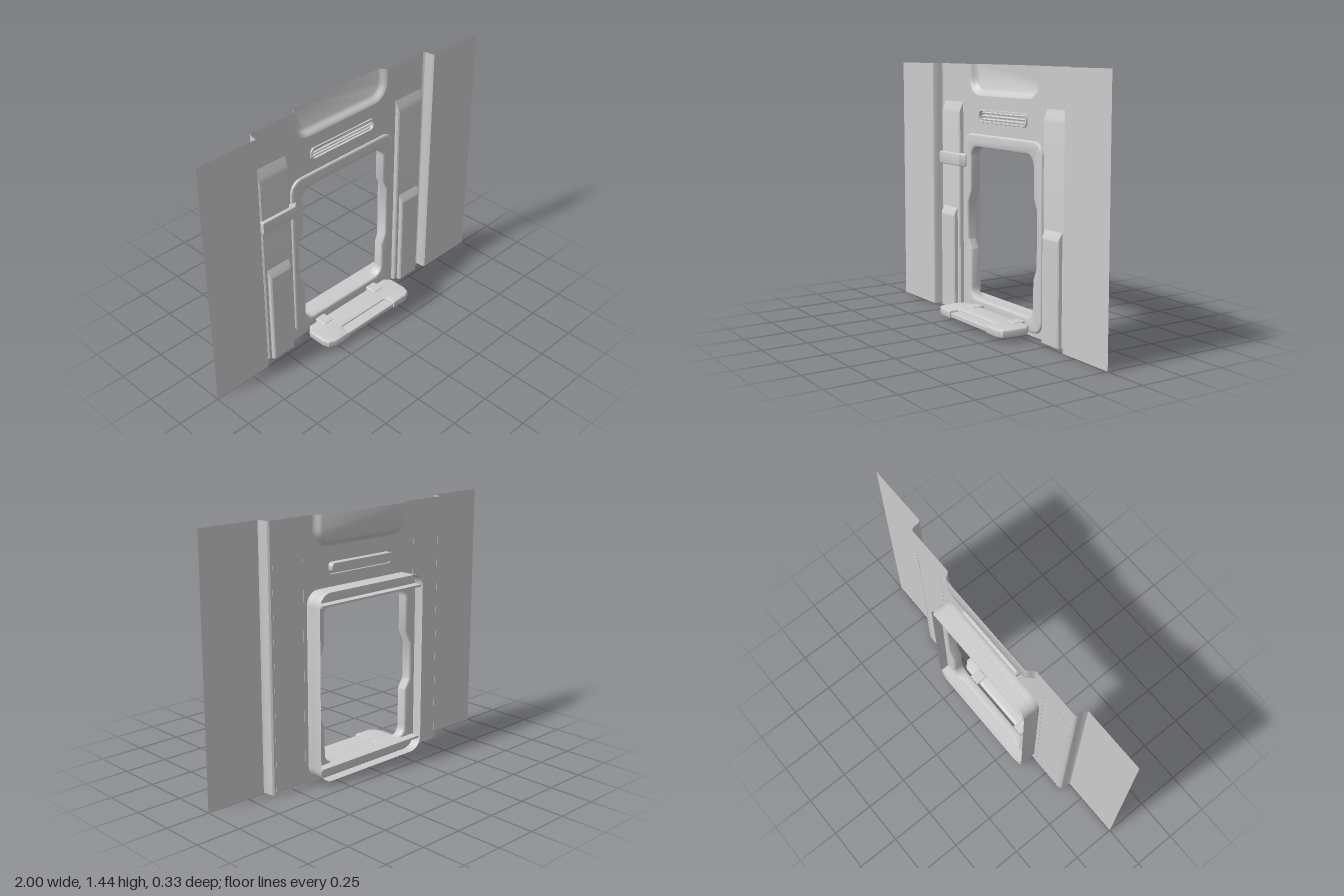
import * as THREE from 'three';
import { toCreasedNormals } from 'three/addons/utils/BufferGeometryUtils.js';
import { RoundedBoxGeometry } from 'three/addons/geometries/RoundedBoxGeometry.js';

const H = 1.44, WALL = -0.063, BACK = -0.163;
const mat = new THREE.MeshStandardMaterial({ color: 0xcccccc, side: THREE.DoubleSide });

// Rounded rectangle, anticlockwise from the top left; rt and rb are top and bottom radii
function ring(x0, x1, y0, y1, rt, rb, z, n = 6) {
  const pts = [];
  const corner = (cx, cy, r, a0) => {
    if (r === 0) return pts.push([cx, cy, z]);
    for (let i = 0; i <= n; i++) {
      const a = a0 + (i / n) * Math.PI / 2;
      pts.push([cx + r * Math.cos(a), cy + r * Math.sin(a), z]);
    }
  };
  corner(x0 + rt, y1 - rt, rt, Math.PI / 2);
  corner(x0 + rb, y0 + rb, rb, Math.PI);
  corner(x1 - rb, y0 + rb, rb, Math.PI * 1.5);
  corner(x1 - rt, y1 - rt, rt, 0);
  return pts;
}

// Skin through cross-sections, optionally with a cap on the last one
function loft(rings, { closed = true, cap = true, crease = 0.6 } = {}) {
  const n = rings[0].length, pos = rings.flat(2), idx = [];
  const segs = closed ? n : n - 1;
  for (let i = 0; i < rings.length - 1; i++)
    for (let j = 0; j < segs; j++) {
      const a = i * n + j, b = i * n + (j + 1) % n;
      idx.push(a, b, b + n, a, b + n, a + n);
    }
  if (cap) {
    const last = (rings.length - 1) * n;
    for (let j = 1; j < n - 1; j++) idx.push(last, last + j, last + j + 1);
  }
  const g = new THREE.BufferGeometry();
  g.setAttribute('position', new THREE.Float32BufferAttribute(pos, 3));
  g.setIndex(idx);
  return toCreasedNormals(g, crease);
}

const vec2 = (pts) => pts.map((p) => new THREE.Vector2(p[0], p[1]));

// Outline extruded with a small bevel that stays inside the outline
function extrude(shape, depth, bevel) {
  const g = new THREE.ExtrudeGeometry(shape, {
    depth: depth - 2 * bevel, bevelThickness: bevel, bevelSize: bevel,
    bevelOffset: -bevel, bevelSegments: 3, curveSegments: 6,
  });
  g.translate(0, 0, bevel);
  return toCreasedNormals(g, 0.6);
}

export function createModel() {
  const model = new THREE.Group();
  model.name = 'wallPanelWithDoorway';
  const add = (name, geo, x = 0, y = 0, z = 0) => {
    const m = new THREE.Mesh(geo, mat);
    m.name = name;
    m.position.set(x, y, z);
    model.add(m);
    return m;
  };

  const alcove = (o, z) => ring(-0.34 + o, 0.34 - o, 1.265 + o, H, 0, 0.1 - o, z);
  const slot = (o, z) => ring(-0.235 + o, 0.235 - o, 1.115 + o, 1.19 - o, 0.025 - o / 2, 0.025 - o / 2, z);
  const door = (o, z) => ring(-0.383 + o, 0.383 - o, 0.02 + o, 1.05 - o, 0.075 - o, 0.075 - o, z);

  // Recessed centre wall with cut-outs
  const wall = new THREE.Shape(vec2([
    [-0.62, H], [-0.62, 0], [0.62, 0], [0.62, H], ...alcove(0, 0).reverse(),
  ]));
  wall.holes.push(new THREE.Path(vec2(slot(0, 0))), new THREE.Path(vec2(door(0, 0))));
  add('centreWall', new THREE.ShapeGeometry(wall), 0, 0, WALL);

  // Side wings with the step down to the centre wall
  const step = [[0.62, WALL], [0.629, -0.056], [0.633, -0.04], [0.636, -0.01], [0.642, 0], [1, 0]];
  for (const s of [1, -1]) {
    const line = step.map(([x, z]) => [s * x, z]);
    if (s < 0) line.reverse();
    const rows = [0, H].map((y) => line.map(([x, z]) => [x, y, z]));
    add(s > 0 ? 'leftWing' : 'rightWing', loft(rows, { closed: false, cap: false }));
  }

  // Shallow alcove open at the top edge
  add('topAlcove', loft([
    alcove(0, WALL), alcove(0.008, -0.066), alcove(0.018, -0.078),
    alcove(0.026, -0.091), alcove(0.038, -0.099),
  ], { closed: false }));

  // Vent slot with a raised rim and louvres
  add('ventSlot', loft([
    slot(0, WALL), slot(0.002, WALL + 0.008), slot(0.01, WALL + 0.008), slot(0.014, -0.084),
  ]));
  for (let i = 0; i < 3; i++) {
    const bar = add('ventLouvre', new THREE.BoxGeometry(0.43, 0.008, 0.014), 0, 1.134 + i * 0.0185, -0.072);
    bar.rotation.x = 0.4;
  }

  // Door frame with flared notches in the jambs
  const o = ring(-0.305, 0.305, 0.1, 0.975, 0.06, 0.06, 0);
  const half = o.length / 2;
  const opening = [
    ...o.slice(0, 7), [-0.305, 0.72], [-0.34, 0.65], [-0.34, 0.435], [-0.305, 0.38],
    ...o.slice(7, half + 7), [0.305, 0.31], [0.335, 0.38], [0.335, 0.687], [0.305, 0.757],
    ...o.slice(half + 7),
  ];
  const frame = new THREE.Shape(vec2(door(0, 0)));
  frame.holes.push(new THREE.Path(vec2(opening)));
  add('doorFrame', extrude(frame, 0.063, 0.012), 0, 0, -0.113);
  add('doorTunnel', loft([door(0, BACK), door(0, -0.09)], { cap: false }));
  add('lintel', new THREE.BoxGeometry(0.74, 0.012, 0.08), 0, 0.981, -0.123);
  add('sill', new THREE.BoxGeometry(0.74, 0.012, 0.08), 0, 0.094, -0.123);

  // Two-layer pillars with sloping tops
  const block = (x0, x1, top, slope, z0, z1) => loft([
    ring(x0, x1, 0, top, 0, 0, z0),
    ring(x0 + 0.003, x1 - 0.003, 0.003, top - slope * 0.7, 0, 0, z1 - 0.006),
    ring(x0 + 0.01, x1 - 0.01, 0.008, top - slope, 0, 0, z1),
  ], { crease: 0.3 });
  for (const s of [1, -1]) {
    const side = s > 0 ? 'left' : 'right';
    add(side + 'Pillar', block(-0.1, 0.1, 1.225, 0.07, WALL - 0.001, -0.038), s * 0.507);
    add(side + 'PillarFront', block(-0.075, 0.075, 0.61, 0.05, -0.04, -0.014), s * 0.507);
  }

  // Latch bar across one pillar
  const latch = new THREE.Shape(vec2([
    [-0.605, WALL], [-0.355, WALL], [-0.355, -0.045], [-0.385, -0.02], [-0.605, -0.02],
  ]));
  add('latchBar', extrude(latch, 0.072, 0.006).rotateX(Math.PI / 2), 0, 0.927, 0);

  // Doorstep with a front notch, an inset tread and two hinges
  const plate = new THREE.Shape(vec2([
    [-0.335, 0.005], [-0.3, -0.03], [0.3, -0.03], [0.335, 0.005], [0.335, 0.11],
    [0.322, 0.148], [0.285, 0.167], [0.185, 0.167], [0.185, 0.115], [0.17, 0.1],
    [-0.17, 0.1], [-0.185, 0.115], [-0.185, 0.167], [-0.285, 0.167], [-0.322, 0.148], [-0.335, 0.11],
  ]));
  add('doorstep', extrude(plate, 0.043, 0.007).rotateX(Math.PI / 2), 0, 0.07, 0);
  add('doorstepTread', new RoundedBoxGeometry(0.374, 0.028, 0.075, 2, 0.006), 0, 0.046, 0.125);
  for (const s of [1, -1])
    add('doorstepHinge', new RoundedBoxGeometry(0.068, 0.03, 0.075, 2, 0.006), s * 0.205, 0.06, -0.012);

  return model;
}
